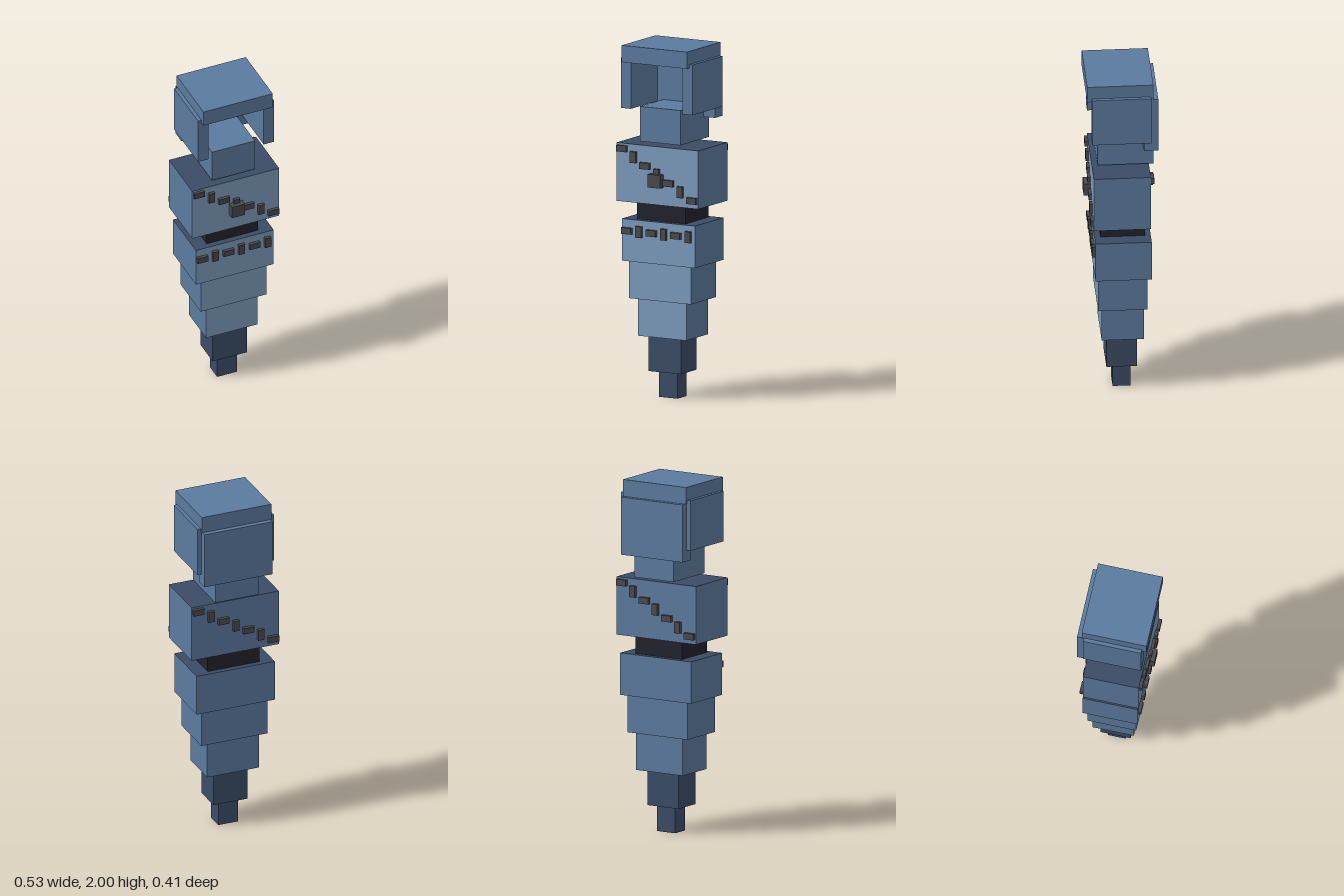
import * as THREE from 'three';

export function createModel() {
  const model = new THREE.Group();
  const mat = (name, color) => new THREE.MeshStandardMaterial({ name, color });
  const hoodBlue = mat('hood blue', 0x5b7a9e);
  const frontBlue = mat('front light blue', 0x7b9aba);
  const darkBlue = mat('dark blue', 0x3b4c66);
  const waistBlack = mat('waist black', 0x22222c);
  const beadGrey = mat('bead grey', 0x4a4a4e);

  // robe blocks: pale front, mid-blue sides and back, dark top and underside
  const robe = [hoodBlue, hoodBlue, darkBlue, darkBlue, frontBlue, hoodBlue];

  // box given by its limits on each axis
  function block(name, material, [x0, x1], [y0, y1], [z0, z1], parent = model) {
    const mesh = new THREE.Mesh(new THREE.BoxGeometry(x1 - x0, y1 - y0, z1 - z0), material);
    mesh.position.set((x0 + x1) / 2, (y0 + y1) / 2, (z0 + z1) / 2);
    mesh.name = name;
    parent.add(mesh);
  }

  // hood, open at the front and below
  const hood = new THREE.Group();
  hood.name = 'hood';
  model.add(hood);
  block('hoodTop', hoodBlue, [-0.211, 0.211], [1.905, 2], [-0.175, 0.195], hood);
  block('hoodBack', hoodBlue, [-0.206, 0.206], [1.578, 1.905], [-0.203, -0.122], hood);
  block('hoodLeft', hoodBlue, [0.168, 0.232], [1.64, 1.925], [-0.162, 0.168], hood);
  block('hoodRight', hoodBlue, [-0.232, -0.168], [1.64, 1.925], [-0.162, 0.168], hood);

  // neck, chest and waist
  block('neck', hoodBlue, [-0.131, 0.131], [1.455, 1.652], [-0.18, 0.132]);
  block('chest', robe, [-0.265, 0.265], [1.11, 1.44], [-0.157, 0.162]);
  block('waist', waistBlack, [-0.157, 0.157], [1.01, 1.11], [-0.132, 0.117]);

  // tapering tail: half width, bottom, top, back, front, material
  [
    [0.237, 0.772, 1.01, -0.164, 0.15, robe],
    [0.2, 0.56, 0.772, -0.144, 0.133, robe],
    [0.157, 0.348, 0.56, -0.127, 0.11, robe],
    [0.104, 0.148, 0.348, -0.091, 0.08, darkBlue],
    [0.06, 0, 0.148, -0.058, 0.042, darkBlue],
  ].forEach(([w, y0, y1, z0, z1, m], i) =>
    block('tailSegment' + (i + 1), m, [-w, w], [y0, y1], [z0, z1]));

  // alternating flat and upright beads
  function bead(name, x, y, upright, z) {
    const w = upright ? 0.018 : 0.032, h = upright ? 0.032 : 0.018;
    block(name, beadGrey, [x - w, x + w], [y - h, y + h], z);
  }

  // diagonal strands across the chest, front and back
  for (let i = 0; i < 7; i++) {
    const x = -0.226 + i * 0.0755, y = 1.411 - i * 0.0428;
    bead('chestBeadFront', x, y, i % 2 === 1, [0.16, 0.179]);
    bead('chestBeadBack', -x, y, i % 2 === 1, [-0.177, -0.155]);
  }
  block('medallion', beadGrey, [-0.04, 0.04], [1.212, 1.287], [0.16, 0.202]);

  // belt beads
  for (let i = 0; i < 6; i++) {
    bead('beltBead', -0.201 + i * 0.0795, 0.945, i % 2 === 1, [0.148, 0.168]);
  }

  return model;
}
